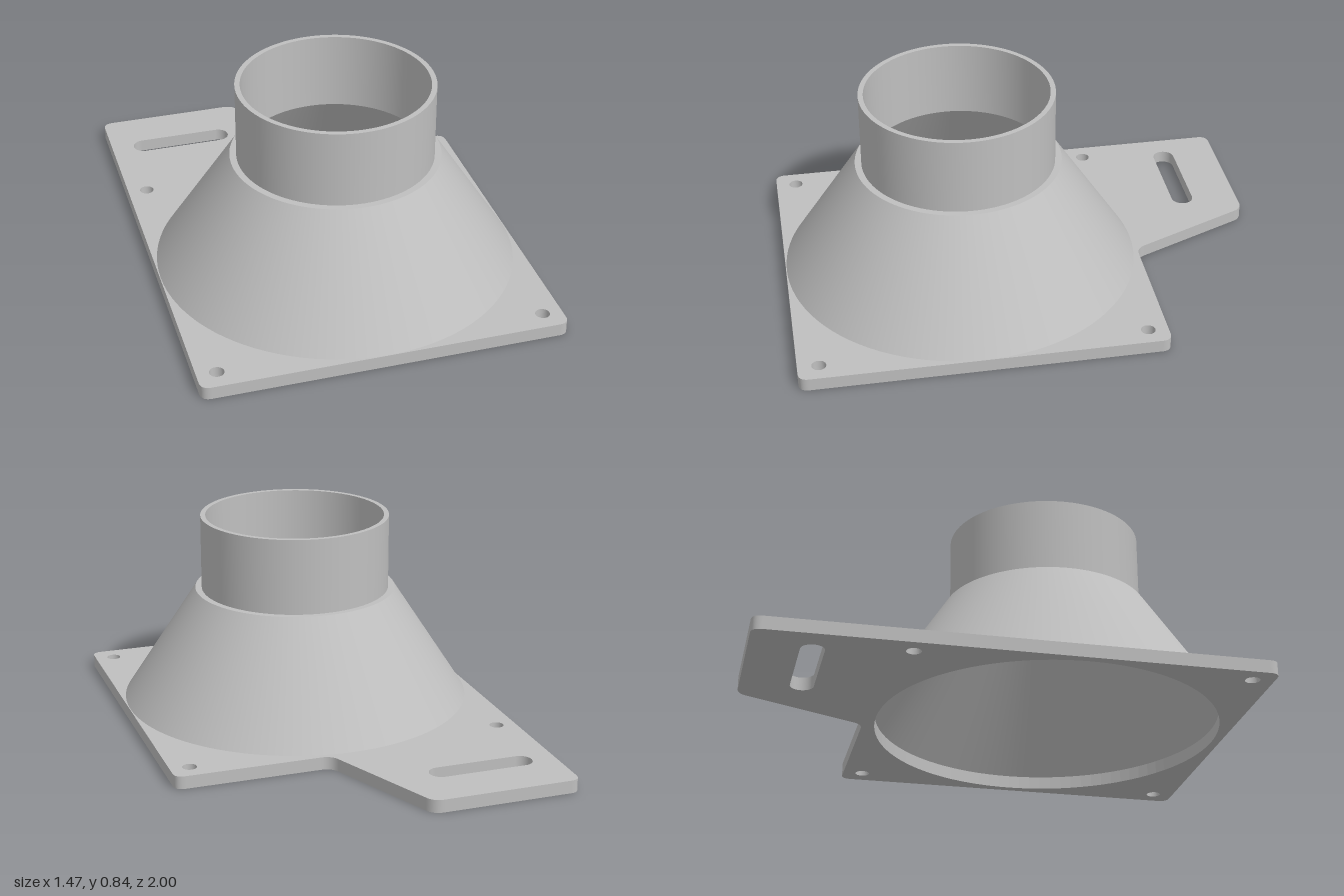
import * as THREE from 'three';
import { mergeGeometries } from 'three/addons/utils/BufferGeometryUtils.js';

const PLATE_TOP = 0.053, CONE_TOP = 0.528, COLLAR_TOP = 0.843;
const AXIS_Z = 0.265;

// Closed polygon with every corner rounded off by distance r
function roundedPolygon(corners, r) {
  const shape = new THREE.Shape();
  const pts = corners.map(([x, z]) => new THREE.Vector2(x, -z));
  pts.forEach((p, i) => {
    const prev = pts[(i + pts.length - 1) % pts.length];
    const next = pts[(i + 1) % pts.length];
    const a = p.clone().add(prev.clone().sub(p).setLength(r));
    const b = p.clone().add(next.clone().sub(p).setLength(r));
    if (i === 0) shape.moveTo(a.x, a.y);
    else shape.lineTo(a.x, a.y);
    shape.quadraticCurveTo(p.x, p.y, b.x, b.y);
  });
  shape.closePath();
  return shape;
}

function circleHole(x, z, r) {
  return new THREE.Path().absarc(x, -z, r, 0, Math.PI * 2, true);
}

// Revolves each profile segment separately so that edges stay sharp
function turned(profile) {
  const parts = [];
  for (let i = 0; i < profile.length - 1; i++) {
    const pair = [profile[i], profile[i + 1]].map(([r, y]) => new THREE.Vector2(r, y));
    parts.push(new THREE.LatheGeometry(pair, 96));
  }
  return mergeGeometries(parts);
}

export function createModel() {
  const group = new THREE.Group();
  group.name = 'ductAdapter';
  const grey = new THREE.MeshStandardMaterial({ color: 0xbfbfbf });
  grey.name = 'grey';

  const add = (name, geometry) => {
    const mesh = new THREE.Mesh(geometry, grey);
    mesh.name = name;
    group.add(mesh);
    return mesh;
  };

  // Mounting plate with a slanted tab at the back
  const outline = roundedPolygon([
    [-0.735, 1], [0.735, 1], [0.735, -0.477],
    [0.097, -0.477], [-0.125, -1], [-0.735, -1],
  ], 0.042);

  // Main opening and four screw holes
  outline.holes.push(circleHole(0, AXIS_Z, 0.7));
  for (const x of [-0.655, 0.655]) {
    for (const z of [-0.395, 0.915]) outline.holes.push(circleHole(x, z, 0.029));
  }

  // Adjustment slot in the tab
  const slot = new THREE.Path();
  slot.absarc(-0.593, 0.762, 0.046, Math.PI * 1.5, Math.PI * 0.5, true);
  slot.absarc(-0.251, 0.762, 0.046, Math.PI * 0.5, -Math.PI * 0.5, true);
  slot.closePath();
  outline.holes.push(slot);

  const plate = new THREE.ExtrudeGeometry(outline, {
    depth: PLATE_TOP, bevelEnabled: false, curveSegments: 48,
  });
  plate.rotateX(-Math.PI / 2);
  add('mountingPlate', plate);

  // Hollow cone with a narrow shoulder around the collar
  add('cone', turned([
    [0.732, PLATE_TOP], [0.423, CONE_TOP], [0.396, CONE_TOP],
  ])).position.z = AXIS_Z;
  add('coneInside', turned([
    [0.375, CONE_TOP], [0.7, PLATE_TOP],
  ])).position.z = AXIS_Z;

  // Thin-walled pipe collar
  add('collar', turned([
    [0.396, CONE_TOP], [0.396, COLLAR_TOP], [0.375, COLLAR_TOP], [0.375, CONE_TOP],
  ])).position.z = AXIS_Z;

  return group;
}
